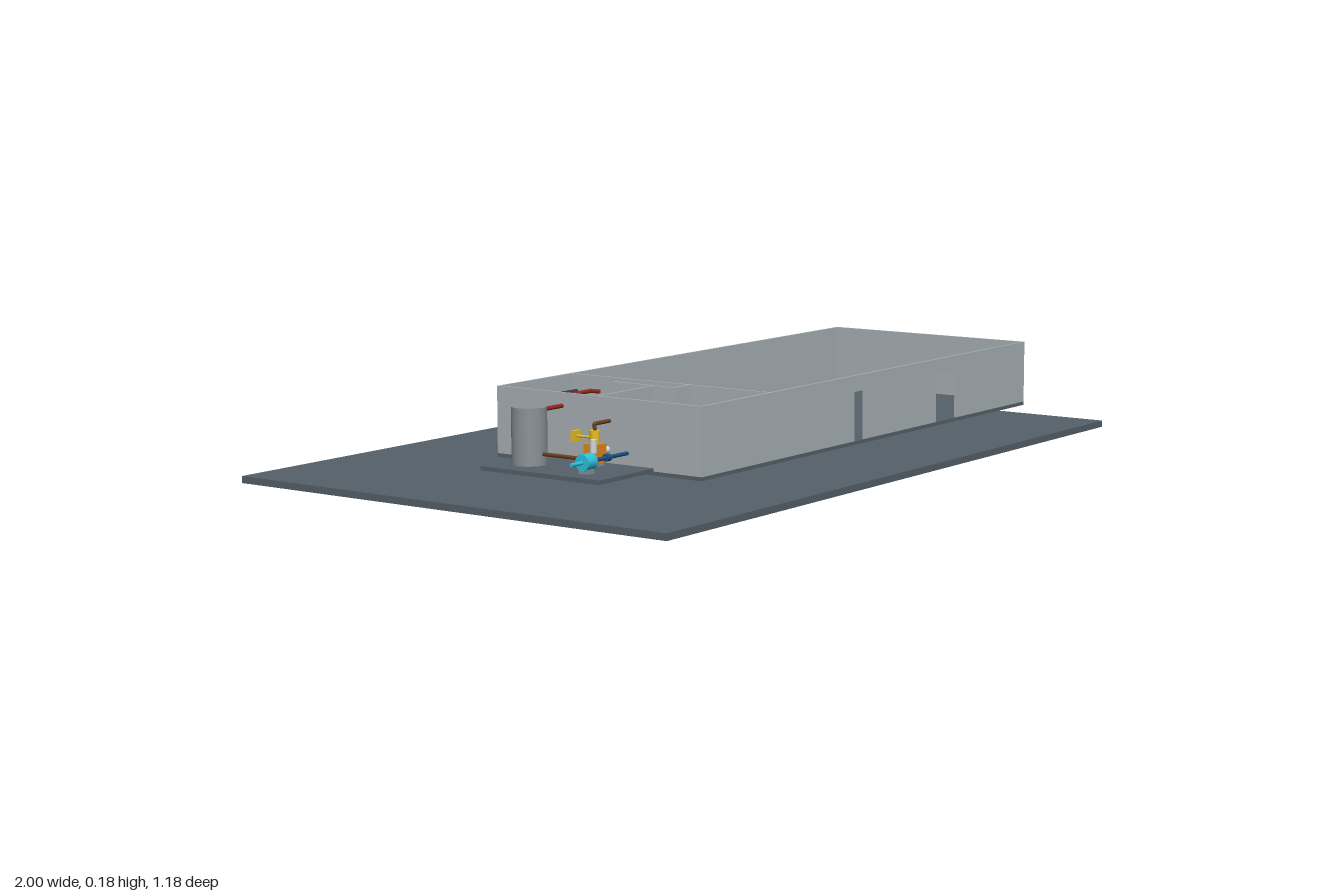
import * as THREE from 'three';

export function createModel() {
  const root = new THREE.Group();
  const mat = (c) => new THREE.MeshStandardMaterial({ color: c });
  const M = {
    slab: mat(0x56616a), wall: mat(0xaab2b6), steel: mat(0x8a9399), white: mat(0xd4d8da),
    cyan: mat(0x2fc4dc), blue: mat(0x1d4f86), navy: mat(0x2c3e50), red: mat(0x96281b),
    brown: mat(0x6e3d20), orange: mat(0xe08a1c), yellow: mat(0xe8c020),
  };
  const add = (name, geo, m, x = 0, y = 0, z = 0, parent = root) => {
    const mesh = new THREE.Mesh(geo, m);
    mesh.name = name;
    mesh.position.set(x, y, z);
    parent.add(mesh);
    return mesh;
  };
  // Box given by its limits on each axis
  const box = (name, m, x0, x1, y0, y1, z0, z1) =>
    add(name, new THREE.BoxGeometry(x1 - x0, y1 - y0, z1 - z0), m,
      (x0 + x1) / 2, (y0 + y1) / 2, (z0 + z1) / 2);

  const F = 0.025, H = 0.184, T = 0.006, DOOR = 0.145;

  // Wall from a to b along one axis, with door openings [from, to]
  const wall = (name, axis, at, a, b, doors = []) => {
    const s = new THREE.Shape();
    s.moveTo(a, F);
    for (const [d0, d1] of doors) {
      s.lineTo(d0, F);
      s.lineTo(d0, DOOR);
      s.lineTo(d1, DOOR);
      s.lineTo(d1, F);
    }
    s.lineTo(b, F);
    s.lineTo(b, H);
    s.lineTo(a, H);
    const g = new THREE.ExtrudeGeometry(s, { depth: T, bevelEnabled: false });
    g.translate(0, 0, -T / 2);
    if (axis === 'z') g.rotateY(-Math.PI / 2);
    return axis === 'z' ? add(name, g, M.wall, at, 0, 0) : add(name, g, M.wall, 0, 0, at);
  };

  // Ground and floor
  box('groundSlab', M.slab, -1, 0.87, 0, 0.016, -0.592, 0.592);
  box('buildingFloor', M.slab, -0.46, 1, 0.016, F, -0.295, 0.292);

  // Outer walls
  const h = T / 2;
  wall('frontWall', 'x', 0.292 - h, -0.46, 1, [[0.17, 0.215], [0.55, 0.65]]);
  wall('backWall', 'x', -0.295 + h, -0.46, 1);
  wall('endWall', 'z', 1 - h, -0.289, 0.286);
  wall('plantWall', 'z', -0.46 + h, -0.289, 0.286);

  // Partitions of the small rooms
  wall('mainPartition', 'z', -0.185, -0.289, 0.286, [[-0.06, -0.012], [0.2, 0.245]]);
  wall('roomDivider', 'x', 0, -0.454, -0.248);
  wall('lobbyWall', 'z', -0.245, -0.12, 0.063, [[-0.1, -0.055]]);
  wall('lobbyReturn', 'x', 0.06, -0.242, -0.188);

  // Door leaves, standing open
  box('smallDoor', M.wall, 0.166, 0.17, F, DOOR, 0.245, 0.286);
  box('wideDoor', M.wall, 0.546, 0.55, F, DOOR, 0.195, 0.286);
  box('roomDoor', M.wall, -0.182, -0.14, F, DOOR, 0.196, 0.2);
  box('lobbyDoor', M.wall, -0.29, -0.248, F, DOOR, -0.104, -0.1);

  // Plant pad and tank
  box('plantPad', M.slab, -0.667, -0.468, 0.024, 0.034, -0.174, 0.165);
  add('tank', new THREE.CylinderGeometry(0.041, 0.041, 0.132, 32), M.steel, -0.58, 0.1, -0.102);

  // Pipe run with straight legs and ball elbows
  const pipe = (name, m, pts, r = 0.0045) => {
    const g = new THREE.Group();
    g.name = name;
    const v = pts.map((p) => new THREE.Vector3(...p));
    for (let i = 0; i < v.length - 1; i++) {
      const d = v[i + 1].clone().sub(v[i]);
      const c = v[i].clone().addScaledVector(d, 0.5);
      const leg = add('pipeLeg', new THREE.CylinderGeometry(r, r, d.length(), 10), m, c.x, c.y, c.z, g);
      leg.quaternion.setFromUnitVectors(new THREE.Vector3(0, 1, 0), d.normalize());
      if (i) add('elbow', new THREE.SphereGeometry(r, 10, 8), m, v[i].x, v[i].y, v[i].z, g);
    }
    root.add(g);
  };

  // Water inlet and its pump
  pipe('inletPipe', M.cyan, [[-0.665, 0.06, 0.085], [-0.58, 0.06, 0.085]]);
  const pump = add('inletPump', new THREE.CylinderGeometry(0.019, 0.019, 0.034, 20), M.cyan, -0.61, 0.06, 0.085);
  pump.rotation.z = Math.PI / 2;
  box('pumpFoot', M.steel, -0.622, -0.598, 0.034, 0.044, 0.072, 0.098);
  add('pumpGauge', new THREE.CylinderGeometry(0.008, 0.008, 0.03, 12), M.white, -0.585, 0.092, 0.085);
  const valve = add('inletValve', new THREE.CylinderGeometry(0.009, 0.009, 0.014, 12), M.blue, -0.535, 0.06, 0.085);
  valve.rotation.z = Math.PI / 2;
  pipe('coldMain', M.blue, [[-0.58, 0.06, 0.085], [-0.424, 0.06, 0.085], [-0.424, 0.06, -0.24]]);
  pipe('coldBranch', M.navy, [[-0.424, 0.06, -0.24], [-0.424, 0.15, -0.24], [-0.23, 0.15, -0.24]], 0.005);

  // Heater unit with its burner
  box('heater', M.orange, -0.533, -0.497, 0.042, 0.085, 0.016, 0.054);
  add('heaterCap', new THREE.CylinderGeometry(0.012, 0.012, 0.03, 16), M.yellow, -0.515, 0.1, 0.035);
  box('heaterFoot', M.steel, -0.53, -0.5, 0.034, 0.042, 0.02, 0.05);
  box('burner', M.yellow, -0.528, -0.5, 0.085, 0.11, -0.024, -0.016);
  pipe('burnerFeed', M.yellow, [[-0.515, 0.098, -0.02], [-0.515, 0.098, 0.03]], 0.003);
  add('outletValve', new THREE.SphereGeometry(0.009, 12, 8), M.white, -0.472, 0.065, 0.035);

  // Hot water runs
  pipe('heaterLoop', M.brown, [[-0.58, 0.06, -0.08], [-0.58, 0.06, 0.035], [-0.47, 0.06, 0.035]]);
  pipe('tankOutlet', M.red, [[-0.56, 0.153, -0.102], [-0.424, 0.153, -0.102], [-0.424, 0.153, -0.2],
    [-0.225, 0.153, -0.2], [-0.225, 0.153, -0.175]], 0.005);
  pipe('returnPipe', M.brown, [[-0.515, 0.11, 0.035], [-0.515, 0.13, 0.035], [-0.322, 0.13, 0.035]]);
  pipe('crossPipe', M.brown, [[-0.322, 0.13, 0.195], [-0.322, 0.13, -0.178], [-0.235, 0.13, -0.178]], 0.0035);
  pipe('backRoomPipe', M.red, [[-0.352, 0.153, -0.2], [-0.352, 0.153, 0]], 0.004);
  pipe('frontRoomPipe', M.red, [[-0.4, 0.153, -0.2], [-0.4, 0.153, 0.195], [-0.28, 0.153, 0.195]], 0.004);

  // Basins along the plant wall and shower heads opposite
  for (const z of [-0.255, -0.19, -0.14, 0.12, 0.18, 0.243]) {
    box('basin', M.white, -0.445, -0.42, 0.075, 0.09, z - 0.008, z + 0.008);
  }
  for (const z of [-0.255, -0.18, -0.125, 0.05, 0.105, 0.17, 0.235]) {
    const head = add('showerHead', new THREE.CylinderGeometry(0.005, 0.012, 0.01, 14), M.steel, -0.285, 0.125, z);
    head.scale.z = 0.6;
  }
  return root;
}
